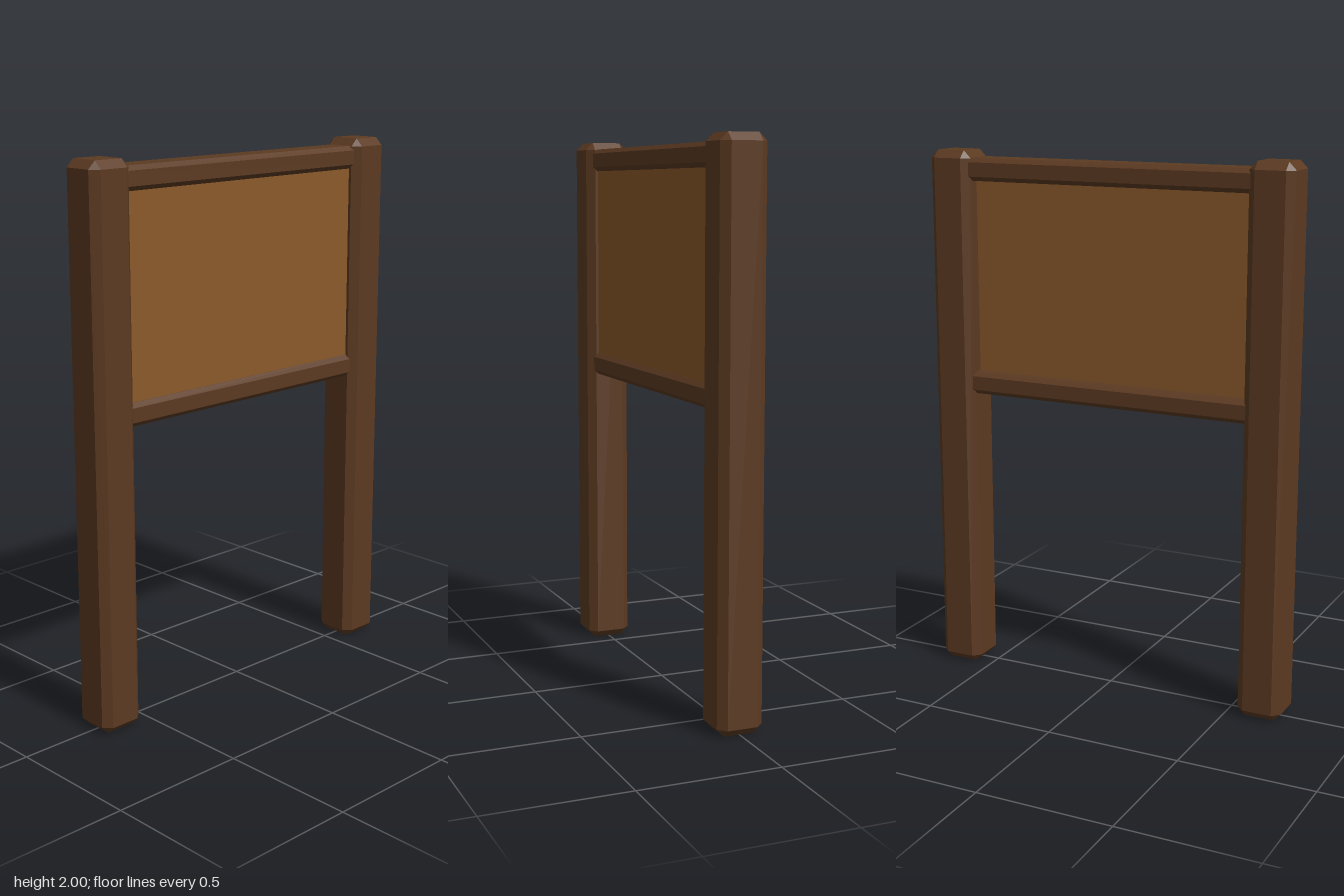
import * as THREE from 'three';
import { ConvexGeometry } from 'three/addons/geometries/ConvexGeometry.js';

// Box with every edge cut at 45 degrees and triangular corners
function chamferedBox(w, h, d, c) {
  const x = w / 2, y = h / 2, z = d / 2;
  const points = [];
  for (const sx of [-1, 1]) for (const sy of [-1, 1]) for (const sz of [-1, 1]) {
    points.push(
      new THREE.Vector3(sx * x, sy * (y - c), sz * (z - c)),
      new THREE.Vector3(sx * (x - c), sy * y, sz * (z - c)),
      new THREE.Vector3(sx * (x - c), sy * (y - c), sz * z)
    );
  }
  return new ConvexGeometry(points);
}

export function createModel() {
  const model = new THREE.Group();
  model.name = 'noticeBoard';

  const darkWood = new THREE.MeshStandardMaterial({ color: 0x5c3a21 });
  darkWood.name = 'darkWood';
  const lightWood = new THREE.MeshStandardMaterial({ color: 0x8b5a2b });
  lightWood.name = 'lightWood';

  const add = (name, geometry, material, x, y, z) => {
    const mesh = new THREE.Mesh(geometry, material);
    mesh.name = name;
    mesh.position.set(x, y, z);
    model.add(mesh);
  };

  // Two square posts
  const post = chamferedBox(0.167, 2, 0.167, 0.028);
  add('leftPost', post, darkWood, 0.628, 1, 0);
  add('rightPost', post, darkWood, -0.628, 1, 0);

  // Rails above and below the board, let into the posts
  const rail = chamferedBox(1.2, 0.084, 0.125, 0.016);
  add('topRail', rail, darkWood, 0, 1.932, 0);
  add('bottomRail', rail, darkWood, 0, 1.133, 0);

  // Board, set slightly towards the front
  add('board', new THREE.BoxGeometry(1.14, 0.76, 0.062), lightWood, 0, 1.532, 0.014);

  return model;
}
